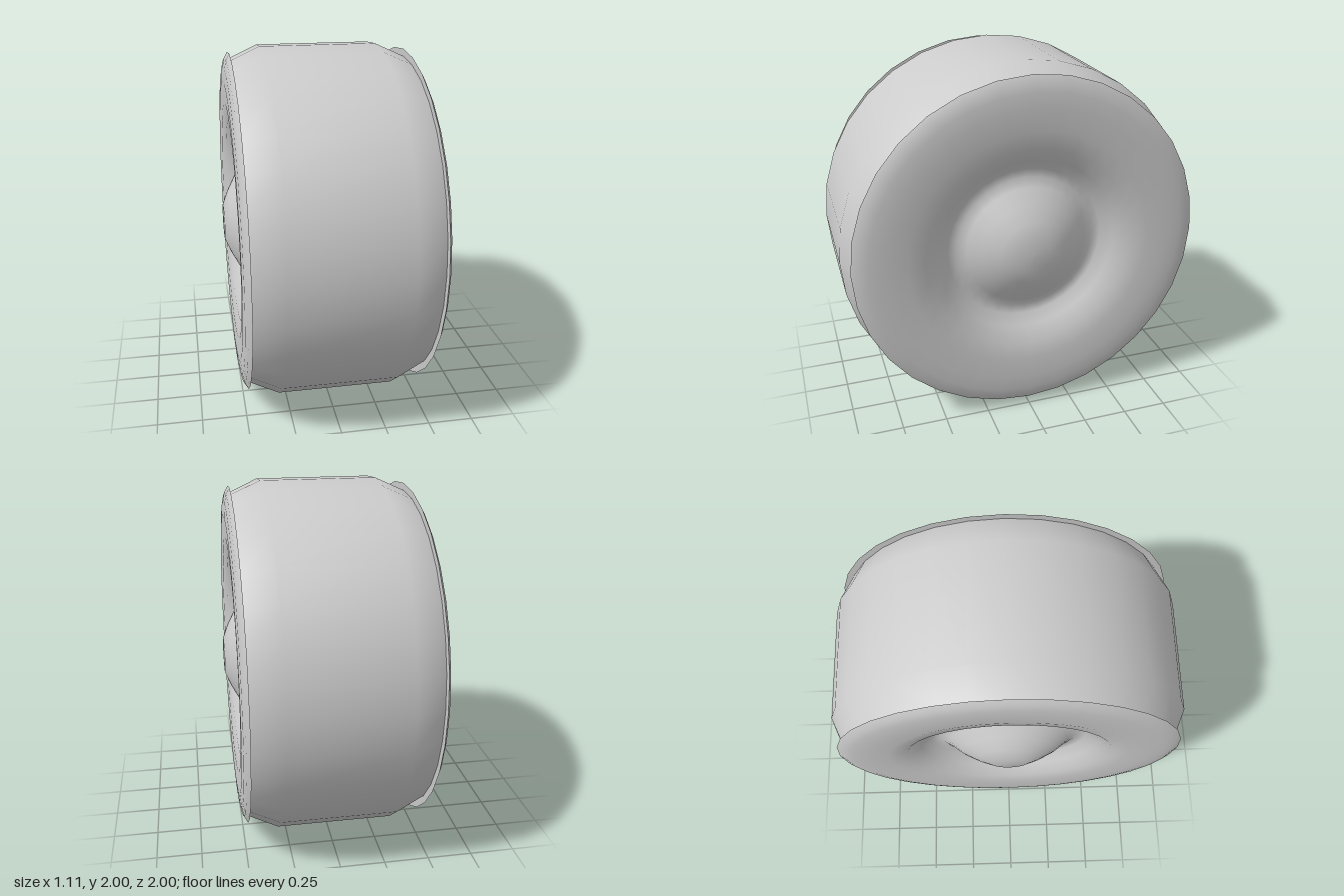
import * as THREE from 'three';

const SEGMENTS = 32;

// Lathe a list of [radius, height along the axle] pairs
function lathe(name, pairs, material) {
  const points = pairs.map(([r, h]) => new THREE.Vector2(r, h));
  const mesh = new THREE.Mesh(new THREE.LatheGeometry(points, SEGMENTS), material);
  mesh.name = name;
  return mesh;
}

export function createModel() {
  const grey = new THREE.MeshStandardMaterial({ color: 0xcccccc });
  grey.name = 'lightGrey';

  const wheel = new THREE.Group();
  wheel.name = 'wheel';

  // Tread with bevelled shoulders
  const tread = lathe('tread', [
    [0.925, -0.485], [1, -0.32], [1, 0.32], [0.925, 0.485],
  ], grey);
  tread.rotation.z = -Math.PI / 2;
  wheel.add(tread);

  // Dished side discs with a raised hub, one for each side
  for (const side of [1, -1]) {
    const disc = new THREE.Group();
    disc.name = side > 0 ? 'leftDisc' : 'rightDisc';
    disc.add(
      lathe('discFace', [
        [0.965, 0.485], [0.93, 0.505], [0.88, 0.515], [0.8, 0.52],
        [0.68, 0.515], [0.58, 0.497], [0.5, 0.445], [0.44, 0.4], [0.39, 0.393],
        [0.34, 0.42], [0.27, 0.475], [0.18, 0.523], [0.1, 0.555], [0, 0.557],
      ], grey),
      lathe('discLip', [[0.89, 0.484], [0.965, 0.485]], grey),
    );
    disc.rotation.z = -side * Math.PI / 2;
    wheel.add(disc);
  }

  wheel.position.y = 1;
  const model = new THREE.Group();
  model.name = 'wheelModel';
  model.add(wheel);
  return model;
}
